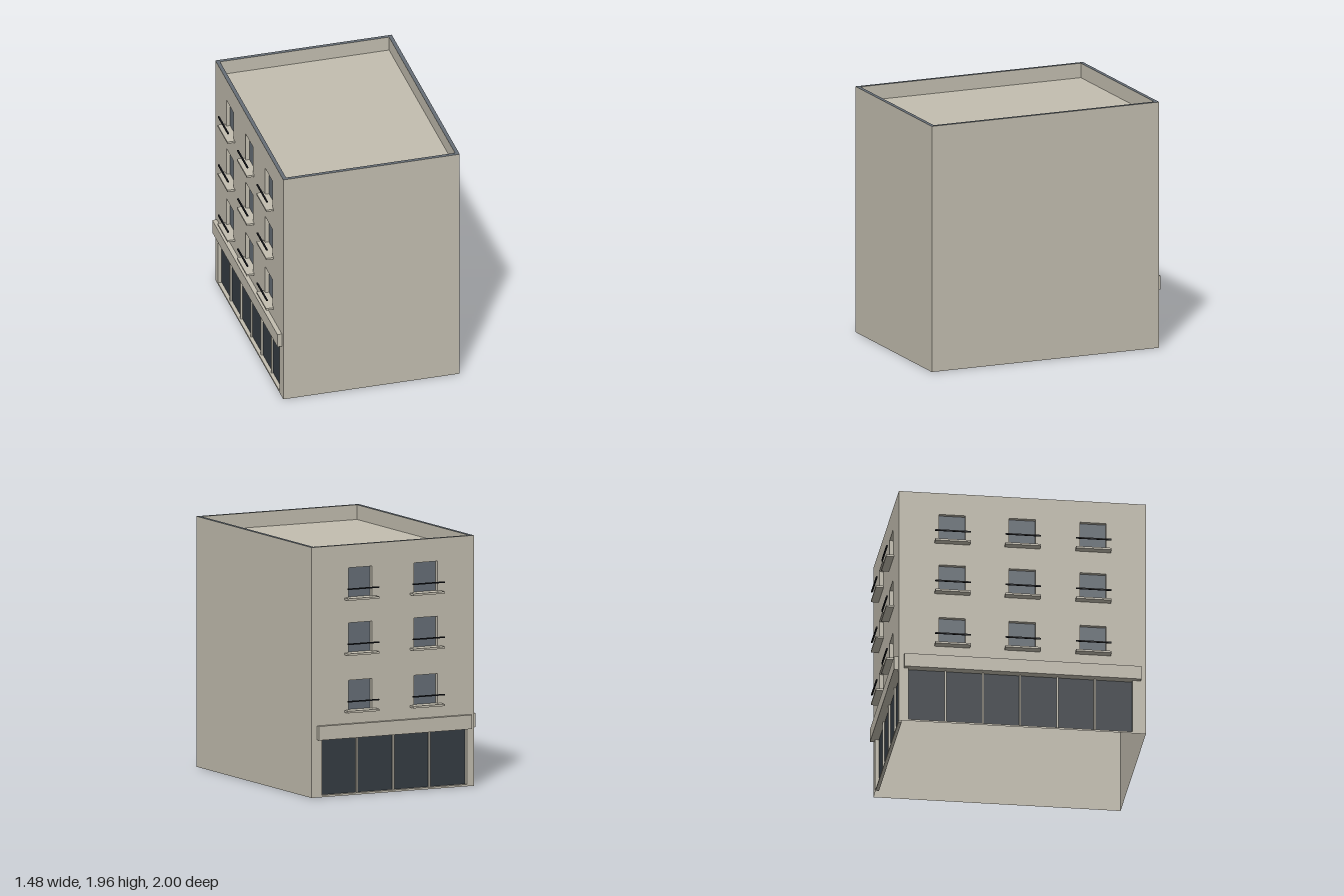
import * as THREE from 'three';

const H = 1.955, ROOF = 1.84, RIM = 0.03, RECESS = 0.03;

function mat(name, color) {
  const m = new THREE.MeshStandardMaterial({ color, side: THREE.DoubleSide });
  m.name = name;
  return m;
}

export function createModel() {
  const stone = mat('stone', 0xc2bdaf);
  const slate = mat('slate', 0x666e76);
  const shopDark = mat('shop glass', 0x353c43);
  const iron = mat('iron', 0x15171c);

  const model = new THREE.Group();
  model.name = 'cornerBuilding';

  const add = (parent, name, geo, material, x = 0, y = 0, z = 0) => {
    const m = new THREE.Mesh(geo, material);
    m.name = name;
    m.position.set(x, y, z);
    parent.add(m);
    return m;
  };
  const box = (parent, name, material, w, h, d, x, y, z) =>
    add(parent, name, new THREE.BoxGeometry(w, h, d), material, x, y, z);

  const rectPath = (x0, y0, x1, y1, P = THREE.Shape) => {
    const p = new P();
    p.moveTo(x0, y0);
    p.lineTo(x1, y0);
    p.lineTo(x1, y1);
    p.lineTo(x0, y1);
    p.closePath();
    return p;
  };

  // Slightly skewed footprint, [x, z], in order as each wall runs left to right from outside
  const outer = [[0.735, -0.945], [-0.685, -0.93], [-0.68, 0.995], [0.74, 0.98]];
  const inner = outer.map(([x, z]) => [x - Math.sign(x) * RIM, z - Math.sign(z) * RIM]);

  // Group whose local x runs along the wall, y up and z outward
  function wallFrame(name, [x0, z0], [x1, z1], y = 0) {
    const g = new THREE.Group();
    g.name = name;
    g.position.set(x0, y, z0);
    g.rotation.y = Math.atan2(-(z1 - z0), x1 - x0);
    model.add(g);
    return { g, len: Math.hypot(x1 - x0, z1 - z0) };
  }

  // Open four-sided lining of a recessed opening
  function reveal(parent, x0, y0, x1, y1) {
    let geo = new THREE.CylinderGeometry(Math.SQRT1_2, Math.SQRT1_2, 1, 4, 1, true);
    geo.rotateY(Math.PI / 4).rotateX(Math.PI / 2);
    geo.scale(x1 - x0, y1 - y0, RECESS);
    geo = geo.toNonIndexed();
    geo.computeVertexNormals();
    add(parent, 'reveal', geo, stone, (x0 + x1) / 2, (y0 + y1) / 2, -RECESS / 2);
  }

  const pane = (parent, name, material, x0, y0, x1, y1) =>
    add(parent, name, new THREE.PlaneGeometry(x1 - x0, y1 - y0), material,
      (x0 + x1) / 2, (y0 + y1) / 2, -RECESS);

  const sills = [0.665, 1.113, 1.543];

  function facade(name, a, b, { columns, shop, panels, fascia, fasciaDepth }) {
    const { g, len } = wallFrame(name, a, b);
    const shape = rectPath(0, 0, len, H);
    const hole = (...r) => {
      shape.holes.push(rectPath(...r, THREE.Path));
      reveal(g, ...r);
    };

    // Upper windows with sill and guard rail
    for (const y of sills) {
      for (const x of columns) {
        const r = [x - 0.103, y, x + 0.103, y + 0.232];
        hole(...r);
        pane(g, 'windowGlass', slate, ...r);
        box(g, 'windowSill', stone, 0.276, 0.016, 0.06, x, y - 0.008, 0.03);
        box(g, 'guardRail', iron, 0.276, 0.01, 0.012, x, y + 0.073, 0.053);
      }
    }

    // Shop front with mullions
    const s = [shop[0], 0.015, shop[1], 0.45];
    hole(...s);
    pane(g, 'shopGlass', shopDark, ...s);
    for (let i = 1; i < panels; i++) {
      const x = shop[0] + (shop[1] - shop[0]) * i / panels;
      box(g, 'mullion', stone, 0.014, 0.435, 0.015, x, 0.2325, -RECESS + 0.0085);
    }

    // Sign band over the shop
    box(g, 'fascia', stone, fascia[1] - fascia[0], 0.11, fasciaDepth,
      (fascia[0] + fascia[1]) / 2, 0.505, fasciaDepth / 2);

    add(g, 'wall', new THREE.ShapeGeometry(shape), stone);
  }

  function plainWall(name, a, b, y0, y1) {
    const { g, len } = wallFrame(name, a, b, y0);
    add(g, 'wall', new THREE.ShapeGeometry(rectPath(0, 0, len, y1 - y0)), stone);
  }

  facade('backFacade', outer[0], outer[1], {
    columns: [0.425, 0.9975], shop: [0.09, 1.36], panels: 4,
    fascia: [0.045, 1.385], fasciaDepth: 0.033,
  });
  facade('rightFacade', outer[1], outer[2], {
    columns: [0.415, 0.9625, 1.5125], shop: [0.075, 1.82], panels: 6,
    fascia: [0.04, 1.885], fasciaDepth: 0.036,
  });
  plainWall('frontWall', outer[2], outer[3], 0, H);
  plainWall('leftWall', outer[3], outer[0], 0, H);

  // Parapet inner faces, facing the roof
  for (let i = 0; i < 4; i++) plainWall('parapetInside', inner[(i + 1) % 4], inner[i], ROOF, H);

  // Roof deck and parapet coping (shape y is -z once laid flat)
  const flat = (pts) => pts.map(([x, z]) => new THREE.Vector2(x, -z));
  const deck = new THREE.ShapeGeometry(new THREE.Shape(flat(outer))).rotateX(-Math.PI / 2);
  add(model, 'roofDeck', deck, stone, 0, ROOF, 0);
  const ring = new THREE.Shape(flat(outer));
  ring.holes.push(new THREE.Path(flat(inner)));
  add(model, 'parapetCoping', new THREE.ShapeGeometry(ring).rotateX(-Math.PI / 2), slate, 0, H, 0);

  return model;
}
